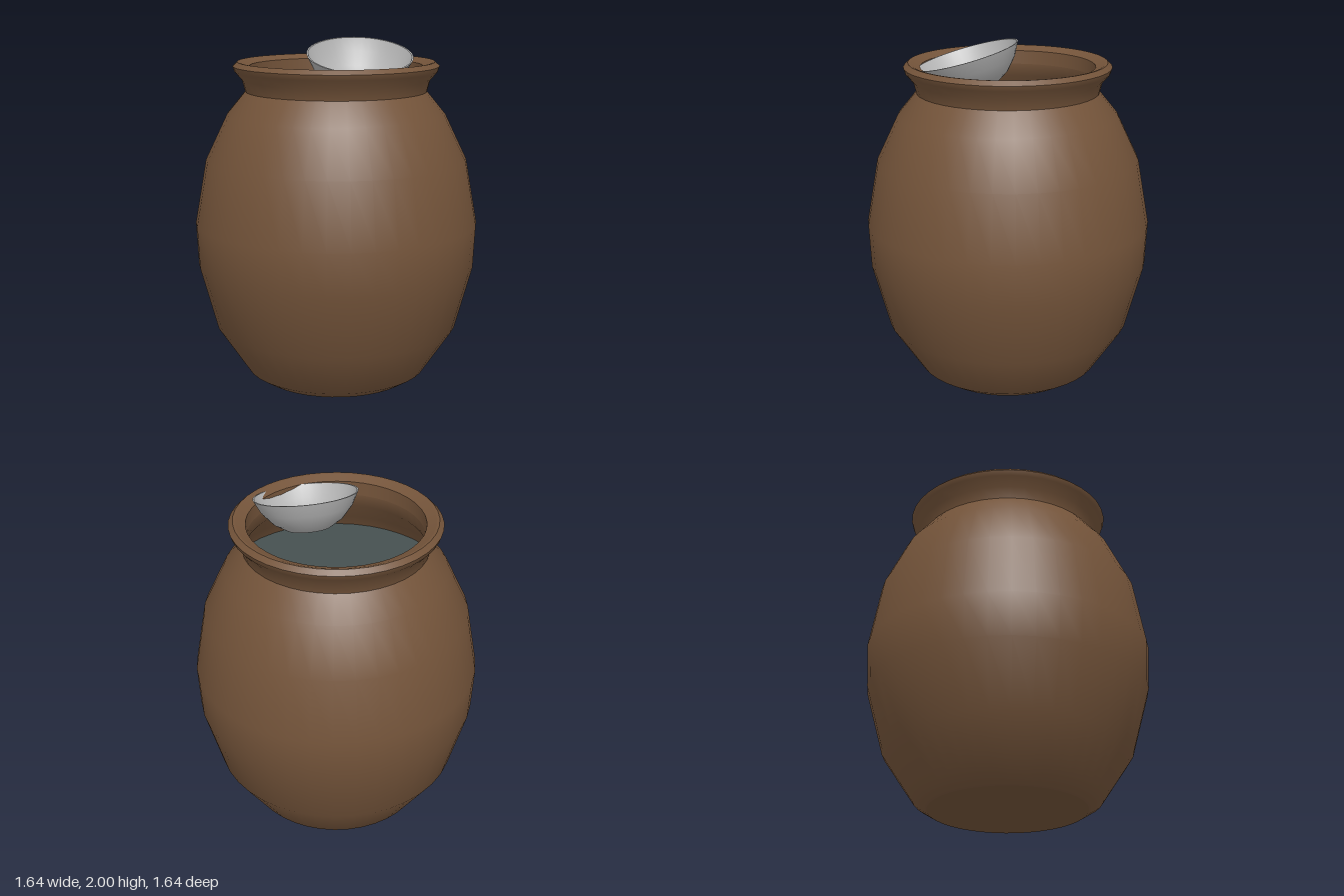
import * as THREE from 'three';

const SEGMENTS = 40;

const clay = new THREE.MeshStandardMaterial({ color: 0x74543a });
clay.name = 'brown clay';
const waterColor = new THREE.MeshStandardMaterial({ color: 0x465050 });
waterColor.name = 'dark water';
const metal = new THREE.MeshStandardMaterial({ color: 0xb4b4b4 });
metal.name = 'grey metal';

// Smooth surface of revolution; separate calls leave a sharp edge between them
function turned(name, material, profile) {
  const points = profile.map(([r, y]) => new THREE.Vector2(r, y));
  const mesh = new THREE.Mesh(new THREE.LatheGeometry(points, SEGMENTS), material);
  mesh.name = name;
  return mesh;
}

export function createModel() {
  const model = new THREE.Group();
  model.name = 'waterJar';

  // Jar: outside from the base up, over the rim, then down the inside
  const jar = new THREE.Group();
  jar.name = 'jar';
  jar.add(
    turned('base', clay, [[0, 0], [0.45, 0]]),
    turned('body', clay, [
      [0.45, 0], [0.53, 0.05], [0.71, 0.32], [0.81, 0.69], [0.822, 0.94],
      [0.755, 1.31], [0.63, 1.57], [0.523, 1.7],
    ]),
    turned('neck', clay, [[0.523, 1.7], [0.54, 1.765], [0.583, 1.815], [0.593, 1.845]]),
    turned('rimBevel', clay, [[0.593, 1.845], [0.567, 1.87]]),
    turned('rimTop', clay, [[0.567, 1.87], [0.553, 1.868]]),
    turned('rimSlope', clay, [[0.553, 1.868], [0.498, 1.845]]),
    turned('innerNeck', clay, [[0.498, 1.845], [0.496, 1.765]]),
    turned('innerWall', clay, [[0.496, 1.765], [0.505, 1.69], [0.61, 1.56], [0.66, 1.45]]),
  );
  jar.position.set(-0.004, 0, 0.002);
  model.add(jar);

  // Water surface closing the inside of the jar
  const water = new THREE.Mesh(new THREE.CircleGeometry(0.645, SEGMENTS), waterColor);
  water.name = 'water';
  water.rotation.x = -Math.PI / 2;
  water.position.y = 1.49;
  model.add(water);

  // Thin bowl tilted towards the front, its origin at the rim centre
  const bowl = new THREE.Group();
  bowl.name = 'bowl';
  bowl.add(
    turned('bowlBase', metal, [[0, -0.19], [0.13, -0.19]]),
    turned('bowlOutside', metal, [[0.13, -0.19], [0.2, -0.145], [0.26, -0.075], [0.298, 0]]),
    turned('bowlLip', metal, [[0.298, 0], [0.289, 0]]),
    turned('bowlInside', metal, [[0.289, 0], [0.251, -0.07], [0.192, -0.135], [0.123, -0.178]]),
    turned('bowlFloor', metal, [[0.123, -0.178], [0, -0.178]]),
  );
  const up = new THREE.Vector3(0, 1, 0);
  bowl.quaternion.setFromUnitVectors(up, new THREE.Vector3(0.1, 1, 0.26).normalize());
  bowl.position.set(0.17, 1.922, 0.177);
  model.add(bowl);

  return model;
}
